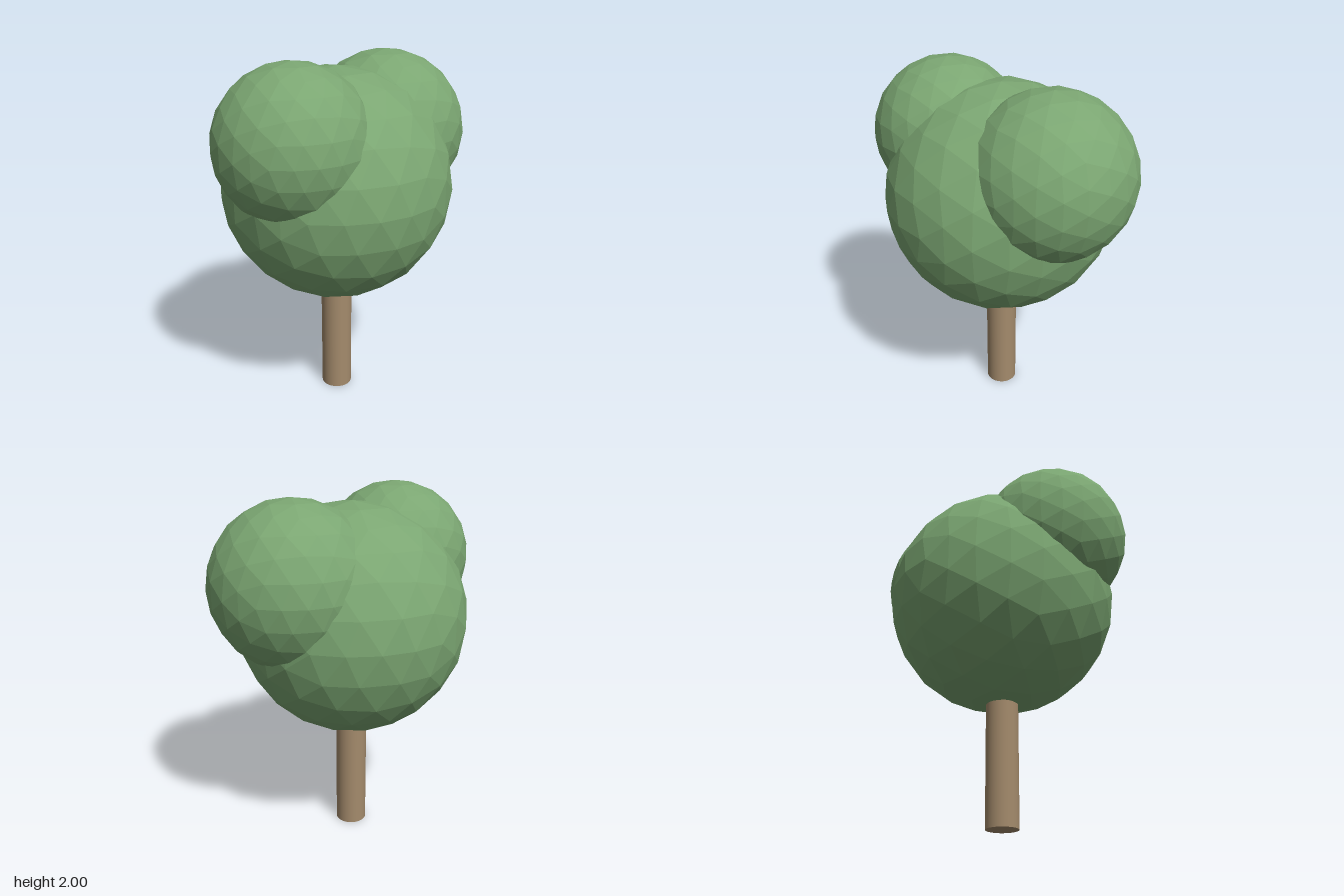
import * as THREE from 'three';

const foliageGreen = new THREE.MeshStandardMaterial({ color: 0x7ba672 });
foliageGreen.name = 'foliageGreen';
const barkBrown = new THREE.MeshStandardMaterial({ color: 0xa48b6c });
barkBrown.name = 'barkBrown';

// Faceted ball: an icosahedron split twice at its edge midpoints
function facetedBall(radius) {
  const base = new THREE.IcosahedronGeometry(1, 1).getAttribute('position');
  const corners = Array.from(base.array);
  const order = Array.from({ length: base.count }, (_, i) => i);
  const ball = new THREE.PolyhedronGeometry(corners, order, radius, 1);
  ball.rotateX(-Math.PI / 2);
  ball.computeVertexNormals(); // unshared corners give flat facets
  return ball;
}

export function createModel() {
  const tree = new THREE.Group();
  tree.name = 'tree';

  // Straight round trunk, its top sunk into the crown
  const trunk = new THREE.Mesh(new THREE.CylinderGeometry(0.088, 0.088, 0.9, 32), barkBrown);
  trunk.name = 'trunk';
  trunk.position.set(-0.04, 0.45, 0);
  tree.add(trunk);

  // Crown of three overlapping balls
  const crown = [
    ['mainCrown', 0.637, -0.04, 1.292, 0],
    ['leftBackCrown', 0.446, 0.304, 1.53, -0.147],
    ['rightFrontCrown', 0.416, -0.334, 1.584, 0.2],
  ];
  for (const [name, radius, x, y, z] of crown) {
    const ball = new THREE.Mesh(facetedBall(radius), foliageGreen);
    ball.name = name;
    ball.position.set(x, y, z);
    tree.add(ball);
  }
  return tree;
}
